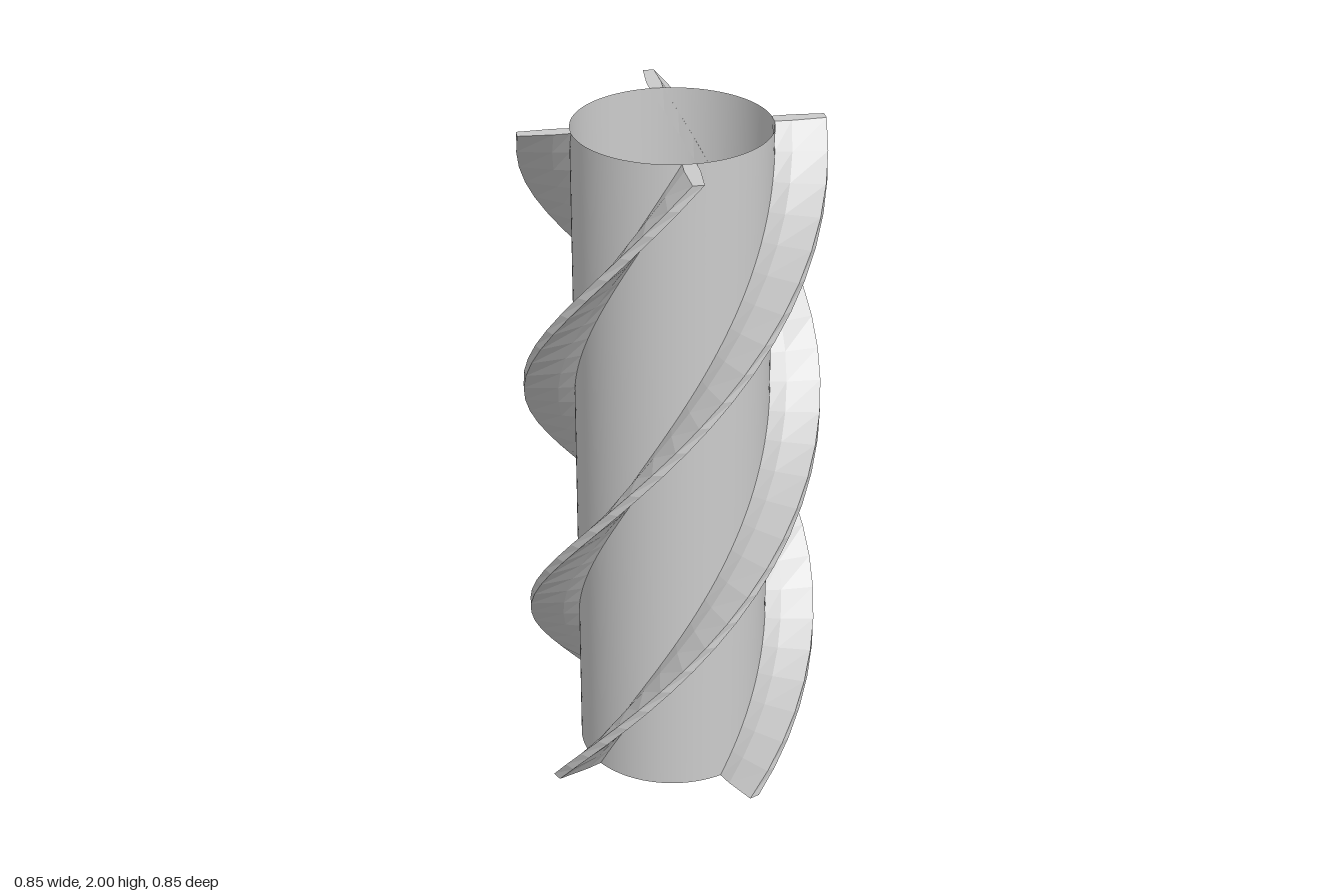
import * as THREE from 'three';

const HEIGHT = 2;
const TUBE_RADIUS = 0.28;
const FINS = 4;
const STEPS = 28;
const START = THREE.MathUtils.degToRad(8.8); // fin angle at the bottom, from +z towards +x
const TWIST = THREE.MathUtils.degToRad(244); // total turn from bottom to top

// Fin cross-section, counter-clockwise from above: [radial distance, sideways offset]
const PROFILE = [
  [0.279, -0.0195], [0.327, -0.0215], [0.425, -0.016],
  [0.425, 0.016], [0.327, 0.0215], [0.279, 0.0195],
];

// Sweeps the fin section up the helix and closes both ends
function finGeometry() {
  const n = PROFILE.length;
  const positions = [];
  const indices = [];
  for (let k = 0; k <= STEPS; k++) {
    const t = k / STEPS;
    const a = START + TWIST * t;
    const s = Math.sin(a), c = Math.cos(a);
    for (const [r, w] of PROFILE) {
      positions.push(r * s + w * c, HEIGHT * t, r * c - w * s);
    }
  }
  for (let k = 0; k < STEPS; k++) {
    for (let i = 0; i < n; i++) {
      const a = k * n + i;
      const b = k * n + (i + 1) % n;
      indices.push(a, b, b + n, a, b + n, a + n);
    }
  }
  const top = STEPS * n;
  for (let i = 1; i < n - 1; i++) {
    indices.push(0, i + 1, i); // bottom cap
    indices.push(top, top + i, top + i + 1); // top cap
  }
  const geometry = new THREE.BufferGeometry();
  geometry.setAttribute('position', new THREE.Float32BufferAttribute(positions, 3));
  geometry.setIndex(indices);
  geometry.computeVertexNormals();
  return geometry;
}

export function createModel() {
  const model = new THREE.Group();
  model.name = 'finnedTube';

  // Thin open tube
  const tube = new THREE.Mesh(
    new THREE.CylinderGeometry(TUBE_RADIUS, TUBE_RADIUS, HEIGHT, 96, 1, true),
    new THREE.MeshStandardMaterial({ color: 0xcccccc, side: THREE.DoubleSide }),
  );
  tube.name = 'tube';
  tube.position.y = HEIGHT / 2;
  model.add(tube);

  // Four helical fins spaced evenly around the tube
  const geometry = finGeometry();
  const material = new THREE.MeshStandardMaterial({ color: 0xcccccc, flatShading: true });
  for (let i = 0; i < FINS; i++) {
    const fin = new THREE.Mesh(geometry, material);
    fin.name = `helicalFin${i + 1}`;
    fin.rotation.y = (i * Math.PI * 2) / FINS;
    model.add(fin);
  }
  return model;
}
